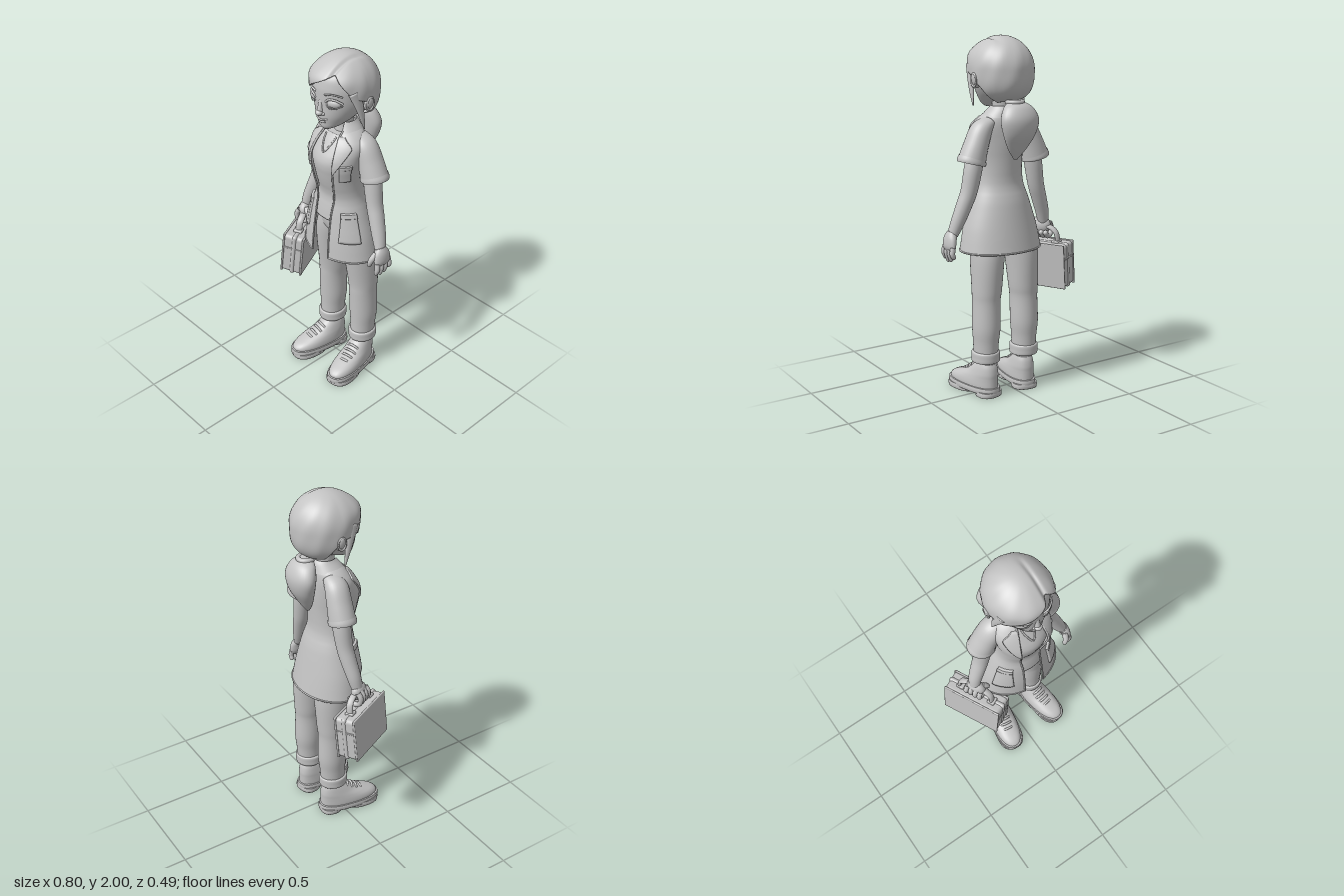
import * as THREE from 'three';
import { mergeVertices } from 'three/addons/utils/BufferGeometryUtils.js';
import { RoundedBoxGeometry } from 'three/addons/geometries/RoundedBoxGeometry.js';

const clay = new THREE.MeshStandardMaterial({ color: 0xc4c4c4, side: THREE.DoubleSide });
clay.name = 'clay grey';
const V = (x, y, z) => new THREE.Vector3(x, y, z);

// Catmull-Rom smoothing of rows of numbers
function smooth(rows, n = 6) {
  const out = [], at = i => rows[Math.min(Math.max(i, 0), rows.length - 1)];
  for (let i = 0; i < rows.length - 1; i++) for (let k = 0; k < n; k++) {
    const t = k / n;
    out.push(rows[i].map((b, c) => {
      const a = at(i - 1)[c], d = at(i + 1)[c], e = at(i + 2)[c];
      return 0.5 * (2 * b + (d - a) * t + (2 * a - 5 * b + 4 * d - e) * t * t + (3 * b - a - 3 * d + e) * t ** 3);
    }));
  }
  out.push(rows[rows.length - 1]);
  return out;
}

// Surface from a grid of points
function grid(points) {
  const cols = points[0].length, index = [];
  for (let i = 0; i < points.length - 1; i++) for (let j = 0; j < cols - 1; j++) {
    const a = i * cols + j, b = a + cols;
    index.push(a, b, a + 1, a + 1, b, b + 1);
  }
  let g = new THREE.BufferGeometry().setFromPoints(points.flat());
  g.setIndex(index);
  g = mergeVertices(g, 1e-5);
  g.computeVertexNormals();
  return g;
}

// Sweep elliptical sections [x, y, z, width, depth, frontGapAngle]; flat keeps them level
function sweep(rows, { flat = false, seg = 32, caps = true, power = 2, side = 1 } = {}) {
  let r = smooth(rows.map(q => [q[0] * side, q[1], q[2], q[3], q[4], q[5] || 0]));
  if (caps) {
    const end = q => [q[0], q[1], q[2], 0, 0, 0];
    r = [end(r[0]), ...r, end(r[r.length - 1])];
  }
  const pos = i => V(...r[Math.min(Math.max(i, 0), r.length - 1)].slice(0, 3));
  const bend = v => Math.sign(v) * Math.abs(v) ** (2 / power);
  return grid(r.map((q, i) => {
    const T = flat ? V(0, -1, 0) : pos(i + 2).sub(pos(i - 2)).normalize();
    const U = V(1, 0, 0).addScaledVector(T, -T.x).normalize(), W = T.clone().cross(U), line = [];
    for (let j = 0; j <= seg; j++) {
      const a = q[5] + (2 * Math.PI - 2 * q[5]) * (j % seg === 0 && !q[5] ? 0 : j / seg);
      line.push(pos(i).addScaledVector(U, q[3] * bend(Math.sin(a))).addScaledVector(W, q[4] * bend(Math.cos(a))));
    }
    return line;
  }));
}

function add(parent, name, geometry, x = 0, y = 0, z = 0) {
  const m = new THREE.Mesh(geometry, clay);
  m.name = name;
  m.position.set(x, y, z);
  parent.add(m);
  return m;
}
const tube = (pts, r, n = 24) => new THREE.TubeGeometry(new THREE.CatmullRomCurve3(pts), n, r, 8);
const blob = (rx, ry, rz) => new THREE.SphereGeometry(1, 24, 16).scale(rx, ry, rz);
const group = (parent, name, x = 0, y = 0, z = 0) => {
  const g = new THREE.Group();
  g.name = name; g.position.set(x, y, z); parent.add(g);
  return g;
};

// Coat sections: y, centre z, half width, half depth, half width of the front opening
const coat = smooth([
  [1.6, -.015, .07, .07, .05], [1.565, -.008, .125, .092, .06], [1.51, .01, .162, .116, .075],
  [1.42, .032, .156, .14, .085], [1.31, .027, .141, .13, .075], [1.2, .012, .143, .117, .063],
  [1.1, .005, .175, .138, .058], [.96, 0, .218, .161, .06], [.83, -.007, .243, .178, .063],
].map(([y, z, w, d, h]) => [0, y, z, w, d, Math.asin(h / w)]), 3);

function coatRow(y) {
  let i = 0;
  while (i < coat.length - 2 && coat[i + 1][1] > y) i++;
  const t = (coat[i][1] - y) / (coat[i][1] - coat[i + 1][1]);
  return coat[i].map((v, k) => v + (coat[i + 1][k] - v) * t);
}
function coatPoint(a, y, off = 0) {
  const q = coatRow(y);
  return V((q[3] + off) * Math.sin(a), y, q[2] + (q[4] + off) * Math.cos(a));
}
// Raised panel that follows the coat
function panel(y0, y1, a0, a1, off, side, n = 14) {
  const pts = [];
  for (let i = 0; i <= n; i++) {
    const k = Math.min(Math.max(i - 1, 0) / (n - 2), 1), y = y0 + (y1 - y0) * k, line = [];
    for (let j = 0; j <= n; j++) {
      const m = Math.min(Math.max(j - 1, 0) / (n - 2), 1);
      const edge = i === 0 || j === 0 || i === n || j === n;
      line.push(coatPoint(side * (a0(k, y) + (a1(k, y) - a0(k, y)) * m), y, edge ? -.003 : off));
    }
    pts.push(line);
  }
  return grid(pts);
}

function buildClothes(body) {
  add(body, 'coat', sweep(coat, { flat: true, seg: 64, caps: false }));
  add(body, 'shirt', sweep(coat.filter(q => q[1] > 1.02 && q[1] < 1.57)
    .map(q => [0, q[1], q[2], q[3] - .013, q[4] - .013]), { flat: true, seg: 48 }));
  const hem = [], gap = coat[coat.length - 1][5];
  for (let i = 0; i <= 40; i++) hem.push(coatPoint(gap + (2 * Math.PI - 2 * gap) * i / 40, .832));
  add(body, 'coatHem', tube(hem, .005, 80));
  add(body, 'neckline', tube([[-.32, 1.555], [-.2, 1.52], [0, 1.475], [.2, 1.52], [.32, 1.555]]
    .map(([a, y]) => coatPoint(a, y, -.011)), .005));
  add(body, 'coatCollar', sweep([[0, 1.625, -.02, .062, .06, .75], [0, 1.605, -.018, .078, .076, .7],
    [0, 1.565, -.01, .118, .096, .55]], { flat: true, caps: false }));
  const at = v => () => v;
  add(body, 'breastPocket', panel(1.425, 1.33, at(.82), at(1.26), .009, 1));
  add(body, 'breastPocketFlap', panel(1.428, 1.408, at(.81), at(1.27), .012, 1));
  for (const s of [1, -1]) {
    add(body, 'coatFrontEdge', tube(coat.map(q => coatPoint(s * q[5], q[1])), .005, 60));
    add(body, 'lapel', panel(1.565, 1.37, (k, y) => coatRow(y)[5] - .02,
      (k, y) => coatRow(y)[5] + (k < .2 ? .25 + k * 1.7 : .6 * (1 - (k - .2) / .8)), .01, s, 20));
    add(body, 'lowerPocket', panel(1.12, .955, k => .7 - .13 * k, k => 1.25 - .02 * k, .011, s));
    add(body, 'lowerPocketBand', panel(1.125, 1.1, at(.69), at(1.26), .014, s));
    add(body, 'sleeve', sweep([[.09, 1.54, -.03, .035, .055], [.14, 1.5, -.035, .058, .066],
      [.177, 1.42, -.04, .067, .07], [.208, 1.328, -.042, .079, .074]], { side: s }));
    add(body, 'sleeveHem', sweep([[.2, 1.352, -.042, .079, .075], [.206, 1.335, -.042, .082, .077],
      [.209, 1.324, -.042, .08, .075]], { side: s, caps: false }));
  }
  add(body, 'trouserHips', sweep([[0, 1.1, -.01, .13, .1], [0, 1.02, -.02, .16, .112],
    [0, .96, -.03, .168, .112], [0, .93, -.035, .14, .1], [0, .915, -.04, .1, .07]], { flat: true }));
}

function buildLeg(body, s) {
  add(body, 'trouserLeg', sweep([[.08, 1.02, -.025, .07, .095], [.096, .92, -.033, .094, .106], [.112, .8, -.045, .092, .106],
    [.121, .62, -.053, .083, .089], [.125, .54, -.052, .077, .084], [.127, .4, -.056, .078, .083], [.128, .31, -.053, .07, .077],
    [.128, .22, -.05, .066, .074]], { flat: true, side: s }));
  add(body, 'trouserCuff', sweep([[.128, .262, -.05, .068, .074], [.128, .256, -.05, .078, .084],
    [.128, .23, -.05, .079, .085], [.128, .205, -.05, .078, .083], [.128, .198, -.05, .064, .07]], { flat: true, side: s }));
  const shoe = group(body, 'shoe', s * .132, 0, 0);
  shoe.rotation.y = s * .16;
  add(shoe, 'ankle', new THREE.CylinderGeometry(.043, .043, .12, 24), 0, .19, -.05);
  add(shoe, 'shoeUpper', sweep([[0, .19, -.05, .046, .058], [0, .165, -.04, .055, .078], [0, .13, -.017, .064, .107],
    [0, .105, .017, .07, .141], [0, .085, .042, .074, .166], [0, .065, .054, .076, .178], [0, .045, .054, .075, .178]],
  { flat: true, power: 2.3 }));
  const slab = (name, y0, y1, z, w, d) => add(shoe, name,
    sweep([[0, y0, z, w, d], [0, (y0 + y1) / 2, z, w + .002, d + .002], [0, y1, z, w, d]], { flat: true, power: 2.5 }));
  slab('sole', .053, .02, .055, .081, .187);
  slab('heel', .03, 0, -.068, .071, .063);
  slab('frontTread', .03, 0, .13, .079, .108);
  for (let i = 0; i < 4; i++) {
    const z = .04 + i * .028, y = .165 - i * .0175;
    add(shoe, 'lace', tube([V(-.042, y - .024, z - .012), V(-.02, y, z), V(.02, y, z), V(.042, y - .024, z - .012)], .007, 16));
  }
}

function buildArms(body) {
  for (const s of [1, -1])
    add(body, 'arm', sweep([[.17, 1.42, -.04, .045, .045], [.195, 1.3, -.04, .05, .05], [.218, 1.18, -.034, .046, .046],
      [.245, 1.1, -.025, .043, .044], [.278, 1.01, -.012, .038, .039], [s > 0 ? .304 : .295, .94, 0, .029, .033]], { side: s }));
  // Relaxed left hand
  const hand = group(body, 'leftHand', .314, .9, .003);
  add(hand, 'palm', sweep([[-.01, .05, -.002, .028, .033], [.004, .02, 0, .028, .05], [.01, -.02, 0, .026, .056],
    [.01, -.045, 0, .016, .05]]));
  for (let i = 0; i < 4; i++) {
    const z = .042 - i * .028, l = [.097, .108, .104, .088][i];
    add(hand, 'finger', sweep([[.012, -.025, z, .015, .015], [.018, -.06, z * 1.08, .015, .014],
      [.008, -l + .006, z * 1.08, .012, .012], [.005, -l, z * 1.08, .007, .007]], { seg: 12 }));
  }
  add(hand, 'thumb', sweep([[-.008, .025, .03, .018, .018], [-.018, -.01, .058, .016, .016],
    [-.028, -.045, .062, .012, .012], [-.029, -.054, .062, .005, .005]], { seg: 12 }));
  // Right hand gripping the bag handle
  const fist = group(body, 'rightHand', -.288, .905, .008);
  fist.rotation.y = .46;
  add(fist, 'palm', blob(.036, .053, .057), -.004, .016, 0);
  for (let i = 0; i < 4; i++) {
    const z = -.043 + i * .028;
    add(fist, 'finger', tube([V(-.024, .03, z), V(-.042, 0, z), V(-.034, -.037, z), V(0, -.047, z), V(.026, -.024, z)], .015));
    add(fist, 'fingertip', blob(.015, .015, .015), .026, -.024, z);
  }
  add(fist, 'thumb', sweep([[.012, .04, .03, .016, .016], [.03, .012, .052, .014, .014], [.03, -.025, .05, .007, .007]], { seg: 12 }));
}

function buildHead(body) {
  add(body, 'neck', sweep([[0, 1.69, -.01, .055, .055], [0, 1.6, -.015, .047, .05], [0, 1.5, -.01, .065, .06]], { flat: true }));
  const head = group(body, 'head', .002, 0, 0);
  add(head, 'face', sweep([[0, 1.965, -.01, .06, .07], [0, 1.92, -.01, .125, .145], [0, 1.86, -.01, .147, .167],
    [0, 1.8, -.005, .146, .164], [0, 1.75, -.002, .138, .158], [0, 1.7, .018, .114, .137], [0, 1.66, .045, .084, .105],
    [0, 1.63, .082, .053, .063], [0, 1.612, .1, .022, .03]], { flat: true, seg: 48 }));
  add(head, 'noseBridge', sweep([[0, 1.79, .148, .012, .01], [0, 1.745, .154, .014, .016], [0, 1.712, .157, .02, .02]], { flat: true }));
  add(head, 'noseTip', blob(.021, .016, .019), 0, 1.718, .165);
  add(head, 'upperLip', tube([V(-.05, 1.69, .13), V(-.022, 1.679, .153), V(0, 1.677, .158), V(.022, 1.679, .153), V(.05, 1.69, .13)], .005));
  add(head, 'lowerLip', blob(.027, .009, .012), 0, 1.664, .146);
  for (const s of [1, -1]) {
    add(head, 'noseWing', blob(.011, .01, .014), s * .018, 1.713, .15);
    add(head, 'eye', blob(.038, .024, .02), s * .074, 1.783, .128).rotation.y = s * .45;
    const arc = (y, h, o) => [V(s * .033, y, .151 + o), V(s * .06, y + h, .152 + o), V(s * .09, y + h, .135 + o), V(s * .117, y, .107 + o)];
    add(head, 'upperLid', tube(arc(1.787, .021, 0), .006));
    add(head, 'lowerLid', tube(arc(1.776, -.016, -.002), .003));
    add(head, 'eyebrow', tube(arc(1.826, .012, .004), .005));
    add(head, 'ear', blob(.02, .042, .028), s * .165, 1.765, -.025).rotation.z = -s * .25;
    add(head, 'earRim', new THREE.TorusGeometry(.024, .005, 8, 20).rotateY(Math.PI / 2).scale(1, 1.4, 1), s * .178, 1.768, -.025);
    add(head, 'sideLock', sweep([[.145, 1.85, .055, .02, .04], [.158, 1.77, .035, .015, .026],
      [.163, 1.7, .018, .011, .015], [.165, 1.63, .002, .003, .004]], { side: s }));
  }
  // Hair cap with a side parting, whose lower edge follows a hairline [angle, y]
  const line = smooth([[-Math.PI, 1.635], [-2.3, 1.645], [-1.85, 1.73], [-1.57, 1.78], [-1.05, 1.79], [-.6, 1.825], [-.2, 1.87],
    [.2, 1.91], [.48, 1.94], [.75, 1.89], [1.1, 1.82], [1.57, 1.78], [1.85, 1.73], [2.3, 1.645], [Math.PI, 1.635]], 8);
  const rows = [];
  for (let i = 0; i <= 41; i++) rows.push(line.map(([a, low], j) => {
    const h = Math.min((low - 1.822) / .178, 1), end = Math.acos(Math.max(h, -1) * .985), th = end * Math.min(i, 40) / 40;
    const c = Math.cos(th), front = Math.max(Math.cos(a), 0);
    let r = c > 0 ? Math.sin(th) : (1 - Math.abs(c) ** 3) ** (1 / 3);
    r *= 1 + .12 * front * Math.exp(-(((c - .5) / .3) ** 2));
    if (j % (line.length - 1)) r += .007 * Math.sin(a * 11 + th * 4) * Math.sin(th) ** 2;
    if (i === 41) r *= .9;
    const x = .178 * r * Math.sin(a), z = -.016 + .189 * r * Math.cos(a);
    const parting = .009 * Math.exp(-(((x - .06) / .012) ** 2)) * THREE.MathUtils.smoothstep(z, -.13, -.03);
    return V(x, 1.822 + .178 * c - parting, z - parting * front);
  }));
  add(head, 'hair', grid(rows));
  add(head, 'hairUnderside', blob(.135, .12, .13), 0, 1.765, -.045);
  add(head, 'ponytail', sweep([[-.01, 1.66, -.14, .03, .03], [-.015, 1.625, -.162, .085, .055], [-.016, 1.56, -.178, .114, .066],
    [-.016, 1.48, -.174, .096, .058], [-.016, 1.4, -.152, .055, .034], [-.016, 1.342, -.135, .01, .01]], { flat: true }));
  add(head, 'hairTie', new THREE.TorusGeometry(.04, .014, 10, 24).rotateX(Math.PI / 2), -.008, 1.652, -.14);
}

function buildBag(root) {
  const bag = group(root, 'bag', -.259, .7, .021);
  bag.rotation.set(0, .46, -.1, 'YXZ');
  add(bag, 'bagBody', new RoundedBoxGeometry(.13, .255, .348, 4, .022));
  add(bag, 'lengthwiseStrap', new RoundedBoxGeometry(.03, .265, .358, 3, .02), .005, 0, 0);
  for (const s of [1, -1]) {
    add(bag, 'sideRim', new RoundedBoxGeometry(.012, .262, .354, 3, .005), s * .059, 0, 0);
    add(bag, 'lidSeam', new RoundedBoxGeometry(.11, .01, .012, 2, .004), 0, .045, s * .172);
    add(bag, 'handleMount', new RoundedBoxGeometry(.05, .02, .045, 2, .006), 0, .13, s * .1);
  }
  add(bag, 'handle', tube([V(0, .125, -.11), V(0, .185, -.098), V(0, .213, -.06), V(0, .216, 0), V(0, .21, .05),
    V(0, .185, .088), V(0, .125, .1)], .012, 40).scale(1.7, 1, 1));
}

export function createModel() {
  const root = new THREE.Group();
  root.name = 'woman with bag';
  const body = group(root, 'figure', .047);
  buildClothes(body);
  for (const s of [1, -1]) buildLeg(body, s);
  buildArms(body);
  buildHead(body);
  buildBag(root);
  return root;
}
